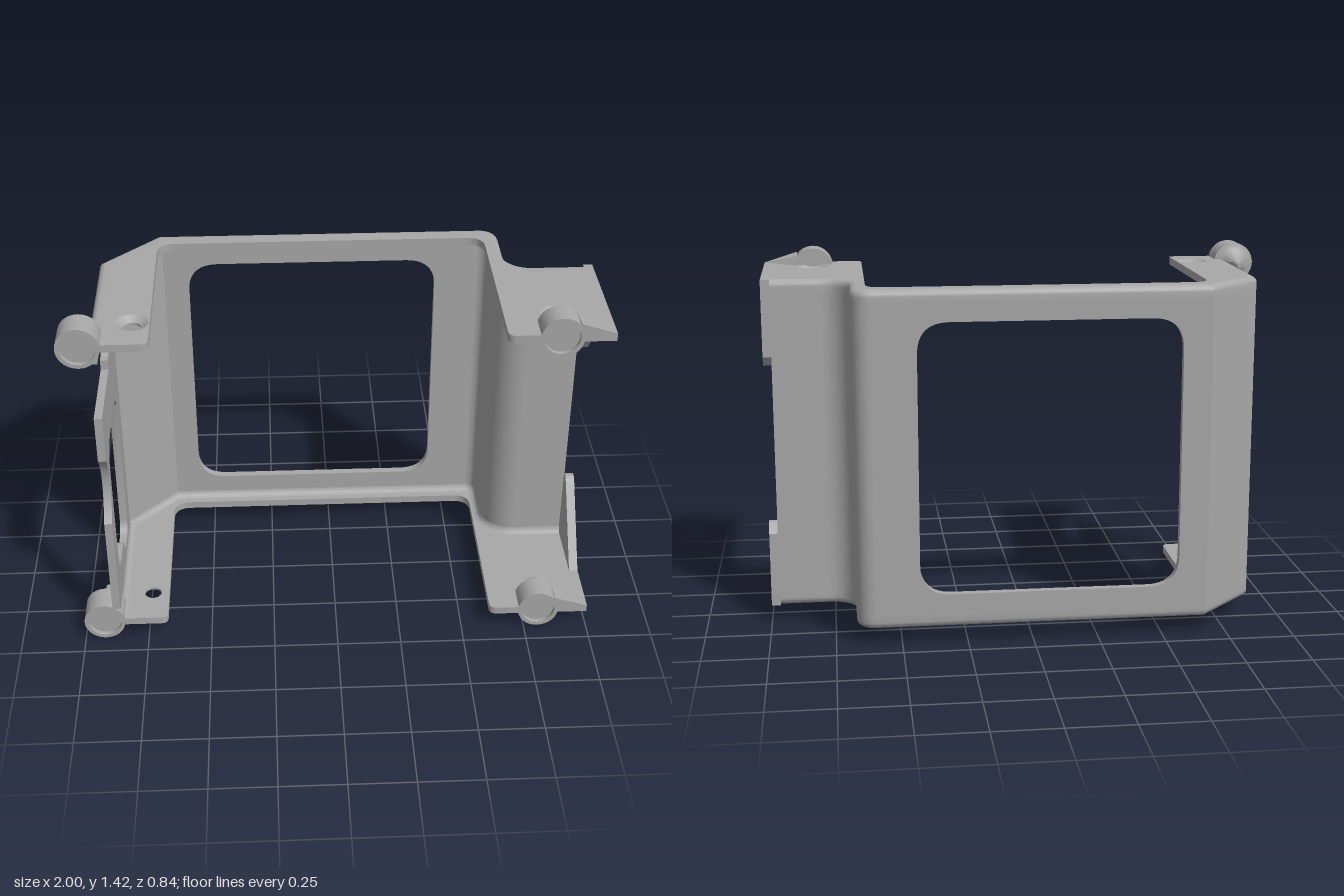
import * as THREE from 'three';
import { toCreasedNormals } from 'three/addons/utils/BufferGeometryUtils.js';

const LOW = 0.07, HIGH = 1.36, T = 0.03; // plate faces and sheet thickness

export function createModel() {
  const model = new THREE.Group();
  model.name = 'mountingBracket';
  const grey = new THREE.MeshStandardMaterial({ color: 0xa8a8a8 });
  grey.name = 'plain grey';

  const add = (name, geometry, x = 0, y = 0, z = 0) => {
    const mesh = new THREE.Mesh(toCreasedNormals(geometry, 0.6), grey);
    mesh.name = name;
    mesh.position.set(x, y, z);
    model.add(mesh);
    return mesh;
  };
  const extrude = (shape, depth) =>
    new THREE.ExtrudeGeometry(shape, { depth, bevelEnabled: false, curveSegments: 12 });
  // [x, y] is a line, [cx, cy, x, y] a rounded corner
  const trace = (path, pts) => {
    path.moveTo(pts[0][0], pts[0][1]);
    pts.slice(1).forEach((p) => (p.length === 2 ? path.lineTo(...p) : path.quadraticCurveTo(...p)));
    return path;
  };
  const roundRect = (x0, y0, x1, y1, r) => trace(new THREE.Path(), [
    [x0 + r, y0], [x1 - r, y0], [x1, y0, x1, y0 + r], [x1, y1 - r], [x1, y1, x1 - r, y1],
    [x0 + r, y1], [x0, y1, x0, y1 - r], [x0, y0 + r], [x0, y0, x0 + r, y0]]);

  // Outer plan line of the wall, in x and z
  const plan = [[-0.885, 0.4], [-0.885, -0.2], [-0.67, -0.42]];
  const N = 10;
  for (let i = 0; i <= N; i++) {
    const a = (i / N) * Math.PI / 2;
    plan.push([0.6 + 0.07 * Math.sin(a), -0.35 - 0.07 * Math.cos(a)]);
  }
  for (let i = 0; i <= N; i++) {
    const a = (i / N) * Math.PI / 2;
    plan.push([0.77 - 0.1 * Math.cos(a), -0.2 + 0.1 * Math.sin(a)]);
  }
  plan.push([1, -0.1]);

  // Mitred inward offset of a plan point
  const normalOf = (a, b) => new THREE.Vector2(a[1] - b[1], b[0] - a[0]).normalize();
  const inset = (i, d) => {
    const last = plan.length - 1;
    const n1 = normalOf(plan[Math.max(i - 1, 0)], plan[Math.max(i, 1)]);
    const n2 = normalOf(plan[Math.min(i, last - 1)], plan[Math.min(i + 1, last)]);
    const m = n1.clone().add(n2).normalize();
    const k = d / m.dot(n1);
    return [plan[i][0] + m.x * k, plan[i][1] + m.y * k];
  };

  // Sweep a closed section of [inset, y] along part of the plan line
  const sweep = (section, from, to) => {
    const pos = [], idx = [], n = section.length;
    for (let i = from; i <= to; i++) {
      for (const [d, y] of section) {
        const [x, z] = inset(i, d);
        pos.push(x, y, z);
      }
    }
    for (let i = 0; i < to - from; i++) {
      for (let j = 0; j < n; j++) {
        const a = i * n + j, d = i * n + (j + 1) % n, b = a + n, c = d + n;
        idx.push(a, d, c, a, c, b);
      }
    }
    const g = new THREE.BufferGeometry();
    g.setAttribute('position', new THREE.Float32BufferAttribute(pos, 3));
    g.setIndex(idx);
    g.computeVertexNormals();
    return g;
  };

  // Rounded edges where the walls meet the two plates
  const edge = [[0, 0.055]];
  for (let i = 0; i <= 5; i++) {
    const a = (i / 5) * Math.PI / 2;
    edge.push([0.025 - 0.025 * Math.cos(a), 0.025 - 0.025 * Math.sin(a)]);
  }
  edge.push([0.055, 0]);
  for (let i = 0; i <= 5; i++) {
    const a = (i / 5) * Math.PI / 2;
    edge.push([0.055 - 0.025 * Math.sin(a), 0.055 - 0.025 * Math.cos(a)]);
  }
  const end = plan.length - 1;
  add('topRoundedEdge', sweep(edge.map(([d, e]) => [d, HIGH - e]), 0, end));
  add('bottomRoundedEdge', sweep(edge.map(([d, e]) => [d, LOW + e]).reverse(), 0, end));

  // Slanted and curved upright walls
  const strip = [[0, LOW + T], [0, HIGH - T], [T, HIGH - T], [T, LOW + T]];
  add('slantedWall', sweep(strip, 1, 2));
  add('steppedWall', sweep(strip, 3, end - 1));
  add('wingWall', new THREE.BoxGeometry(0.2, HIGH - LOW - 2 * T, T), 0.867, (HIGH + LOW) / 2, -0.085);

  // Back wall with large window
  const back = trace(new THREE.Shape(), [[-0.67, 0.1], [0.6, 0.1], [0.6, 1.33], [-0.67, 1.33]]);
  back.holes.push(roundRect(-0.56, 0.2, 0.43, 1.24, 0.12));
  add('backWall', extrude(back, T), 0, 0, -0.42);

  // Side wall, drawn in z and y
  const side = new THREE.Shape();
  trace(side, [[0.4, 0.1], [0.4, 0.15], [0.42, 0.15], [0.42, 0.57]]);
  side.absarc(0.565, 0.715, 0.205, Math.PI * 1.25, Math.PI * 0.75, true);
  side.lineTo(0.42, 1.05).lineTo(0.08, 1.05).lineTo(0.08, 1.09).lineTo(0.05, 1.09);
  side.quadraticCurveTo(-0.02, 1.1, -0.02, 1.17).lineTo(-0.02, 1.2);
  side.quadraticCurveTo(-0.02, 1.27, 0.05, 1.27);
  side.lineTo(0.4, 1.27).lineTo(0.4, 1.33).lineTo(-0.2, 1.33).lineTo(-0.2, 0.1);
  side.holes.push(trace(new THREE.Path(), [
    [0.32, 0.35], [0.32, 0.75], [0.32, 0.85, 0.2, 0.85], [0.03, 0.85], [-0.05, 0.85, -0.08, 0.78],
    [-0.08, 0.22], [-0.08, 0.16, -0.02, 0.16], [0.02, 0.16], [0.07, 0.16, 0.08, 0.2],
    [0.1, 0.25, 0.15, 0.25], [0.22, 0.25], [0.32, 0.25, 0.32, 0.35]]));
  add('sideWall', extrude(side, T).rotateY(-Math.PI / 2), -0.855);

  // Corner gussets at the outer end of the wing
  const gusset = (name, y, s) => {
    const p = [[-0.1, 0], [0.2, 0], [0.2, 0.03], [-0.015, 0.31], [-0.05, 0.36, -0.085, 0.315], [-0.1, 0.295]];
    const shape = trace(new THREE.Shape(), p.map((q) => q.map((v, i) => (i % 2 ? y + s * v : v))));
    add(name, extrude(shape, 0.035).rotateY(-Math.PI / 2), 1);
  };
  gusset('topGusset', HIGH, -1);
  gusset('bottomGusset', LOW, 1);

  // Plates with screw holes
  const holes = [[-0.735, 0.265], [0.805, 0.27]];
  const plate = trace(new THREE.Shape(), [
    ...plan.map((_, i) => inset(i, T)),
    [1, 0.42], [0.87, 0.42], [0.87, 0.4], [0.74, 0.4], [0.74, 0.42], [0.64, 0.42], [0.61, 0.42, 0.61, 0.39],
    [0.61, -0.27], [0.61, -0.34, 0.54, -0.34], [-0.6, -0.34], [-0.67, -0.34, -0.67, -0.27],
    [-0.67, 0.39], [-0.67, 0.42, -0.7, 0.42], [-0.84, 0.42], [-0.84, 0.4]]);
  for (const [x, z] of holes) plate.holes.push(new THREE.Path().absarc(x, z, 0.06, 0, Math.PI * 2, true));
  const lathe = (pts) => new THREE.LatheGeometry(pts.map(([r, h]) => new THREE.Vector2(r, h)), 36);
  const seat = [[0.033, -T], [0.06, -T], [0.06, 0], [0.033, -0.02], [0.033, -T]];

  // Round bosses with a shallow front recess; the outer pair flares into the wall
  const front = [[0.08, 0.42], [0.065, 0.42], [0.065, 0.402], [0, 0.402]];
  const flare = [[0, 0.2]];
  for (let i = 0; i <= 8; i++) {
    const a = (i / 8) * Math.PI / 2;
    flare.push([0.08 - 0.07 * Math.cos(a), 0.2 + 0.11 * Math.sin(a)]);
  }
  const plainBoss = [[0, 0.32], [0.08, 0.32], ...front];

  // Sloped fairing beside the wing boss
  const fairing = () => {
    const g = new THREE.BufferGeometry();
    g.setAttribute('position', new THREE.Float32BufferAttribute([
      0.868, 0, 0.42, 1, 0, 0.42, 0.868, 0.042, 0.42, 0.868, 0, 0.29, 0.868, 0.035, 0.32], 3));
    g.setIndex([0, 1, 2, 1, 4, 2, 1, 3, 4, 0, 3, 1, 0, 2, 4, 0, 4, 3]);
    g.computeVertexNormals();
    return g;
  };

  for (const [level, top] of [['top', HIGH], ['bottom', LOW + T]]) {
    add(level + 'Plate', extrude(plate, T).rotateX(Math.PI / 2), 0, top);
    for (const [x, z] of holes) {
      const upper = level === 'top';
      const ring = add(level + 'ScrewSeat', lathe(seat), x, upper ? HIGH : LOW, z);
      if (!upper) ring.rotation.x = Math.PI;
    }
    add(level + 'SideBoss', lathe([...flare, ...front]).rotateX(Math.PI / 2), -0.92, top - 0.015);
    add(level + 'WingBoss', lathe(plainBoss).rotateX(Math.PI / 2), 0.805, top - 0.015);
    add(level + 'BossFairing', fairing(), 0, top);
  }
  return model;
}
